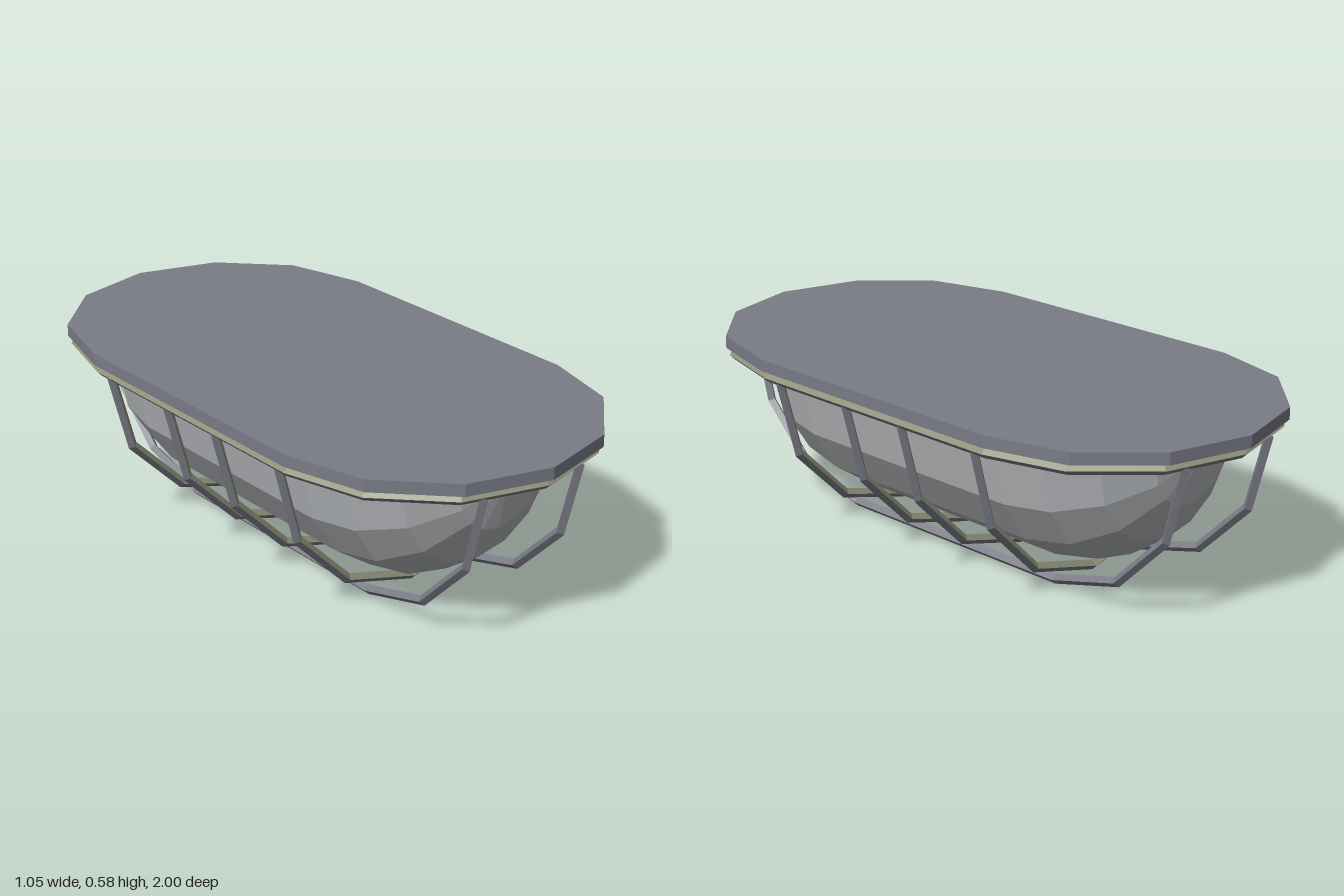
import * as THREE from 'three';

const mat = (name, color) => {
  const m = new THREE.MeshStandardMaterial({ color });
  m.name = name;
  return m;
};

// Split all corners so every facet is flat
function facet(geometry) {
  const g = geometry.index ? geometry.toNonIndexed() : geometry;
  g.computeVertexNormals();
  return g;
}

// Points on an arc of 30 degree steps
const arc = (cx, cy, r, from, to) => {
  const pts = [];
  const n = Math.round(Math.abs(to - from) / 30);
  for (let i = 0; i <= n; i++) {
    const a = THREE.MathUtils.degToRad(from + (to - from) * i / n);
    pts.push(new THREE.Vector2(cx + r * Math.cos(a), cy + r * Math.sin(a)));
  }
  return pts;
};

// Long rounded outline with half circles at both ends
const stadium = (r, c) => [...arc(0, c, r, 0, 180), ...arc(0, -c, r, 180, 360)];

function slab(r, c, bottom, top) {
  const g = new THREE.ExtrudeGeometry(new THREE.Shape(stadium(r, c)), { depth: top - bottom, bevelEnabled: false });
  g.rotateX(Math.PI / 2).translate(0, top, 0);
  return facet(g);
}

// Square wire set on edge, mitred along a flat path; map() places (u, v, side) in space.
// tinted(k) tells which of the four long faces take the second material.
function wire(path, closed, map, tinted, h = 0.0155) {
  const n = path.length;
  const at = i => path[closed ? (i + n) % n : Math.min(Math.max(i, 0), n - 1)];
  const perp = (a, b) => new THREE.Vector2(b.y - a.y, a.x - b.x).normalize();
  const rings = path.map((p, i) => {
    const first = !closed && i === 0, last = !closed && i === n - 1;
    const n1 = first ? perp(p, at(1)) : perp(at(i - 1), p);
    const n2 = last ? n1 : perp(p, at(i + 1));
    const m = n1.clone().add(n2).normalize();
    m.multiplyScalar(h / m.dot(n2));
    return [[1, 0], [0, 1], [-1, 0], [0, -1]].map(([o, s]) => map(p.x + m.x * o, p.y + m.y * o, s * h));
  });
  const sets = [[], []];
  for (let i = 0; i < (closed ? n : n - 1); i++) {
    const A = rings[i], B = rings[(i + 1) % n];
    const middle = new THREE.Vector3();
    [...A, ...B].forEach(v => middle.addScaledVector(v, 1 / 8));
    for (let k = 0; k < 4; k++) {
      const q = [A[k], A[(k + 1) % 4], B[(k + 1) % 4], B[k]];
      const normal = q[1].clone().sub(q[0]).cross(q[2].clone().sub(q[0]));
      const out = q[0].clone().add(q[2]).multiplyScalar(0.5).sub(middle);
      if (normal.dot(out) < 0) q.reverse();
      sets[tinted(k) ? 1 : 0].push(q[0], q[1], q[2], q[0], q[2], q[3]);
    }
  }
  const g = new THREE.BufferGeometry().setFromPoints([...sets[0], ...sets[1]]);
  g.addGroup(0, sets[0].length, 0);
  g.addGroup(sets[0].length, sets[1].length, 1);
  g.computeVertexNormals();
  return g;
}

export function createModel() {
  const model = new THREE.Group();
  model.name = 'cagedLamp';
  const metal = mat('grey metal', 0x7a7c86);
  const glass = mat('pale glass', 0xb2b5b8);
  const olive = mat('olive metal', 0x8e8f78);
  const add = (name, geometry, material, parent = model) => {
    const mesh = new THREE.Mesh(geometry, material);
    mesh.name = name;
    parent.add(mesh);
  };

  // Mounting plate and the collar below it
  add('mountingPlate', slab(0.523, 0.477, 0.545, 0.583), metal);
  add('collar', slab(0.433, 0.427, 0.475, 0.545), metal);

  // Half capsule glass hanging from the collar
  const R = 0.407, C = 0.415, profile = [];
  for (const s of [-1, 1]) {
    for (let j = 0; j <= 4; j++) {
      const t = (s < 0 ? j : 4 - j) * Math.PI / 8;
      profile.push(new THREE.Vector2(R * Math.sin(t), s * (C + R * Math.cos(t))));
    }
  }
  const dome = new THREE.LatheGeometry(profile, 8, Math.PI / 2, Math.PI);
  dome.rotateX(-Math.PI / 2).translate(0, 0.475, 0);
  add('glassDome', facet(dome), glass);

  // Wire cage: rim, cross hoops and long hoops
  const cage = new THREE.Group();
  cage.name = 'cage';
  model.add(cage);
  const rim = wire(stadium(0.503, 0.466), true,
    (u, v, s) => new THREE.Vector3(u, 0.523 + s, v), k => k < 2);
  add('cageRim', rim, [metal, olive], cage);

  const crossPath = arc(0, 0.52, 0.5, 180, 360);
  for (const z of [-0.42, -0.12, 0.12, 0.42]) {
    const hoop = wire(crossPath, false,
      (u, v, s) => new THREE.Vector3(u, v, z + s), k => k === 1 || k === 2);
    add('crossHoop', hoop, [metal, olive], cage);
  }

  const longPath = [...arc(-0.437, 0.52, 0.485, 180, 270), ...arc(0.437, 0.52, 0.485, 270, 360)];
  for (const x of [-0.182, 0.182]) {
    const hoop = wire(longPath, false, (u, v, s) => new THREE.Vector3(x + s, v, u), () => false);
    add('longHoop', hoop, [metal, olive], cage);
  }
  return model;
}
